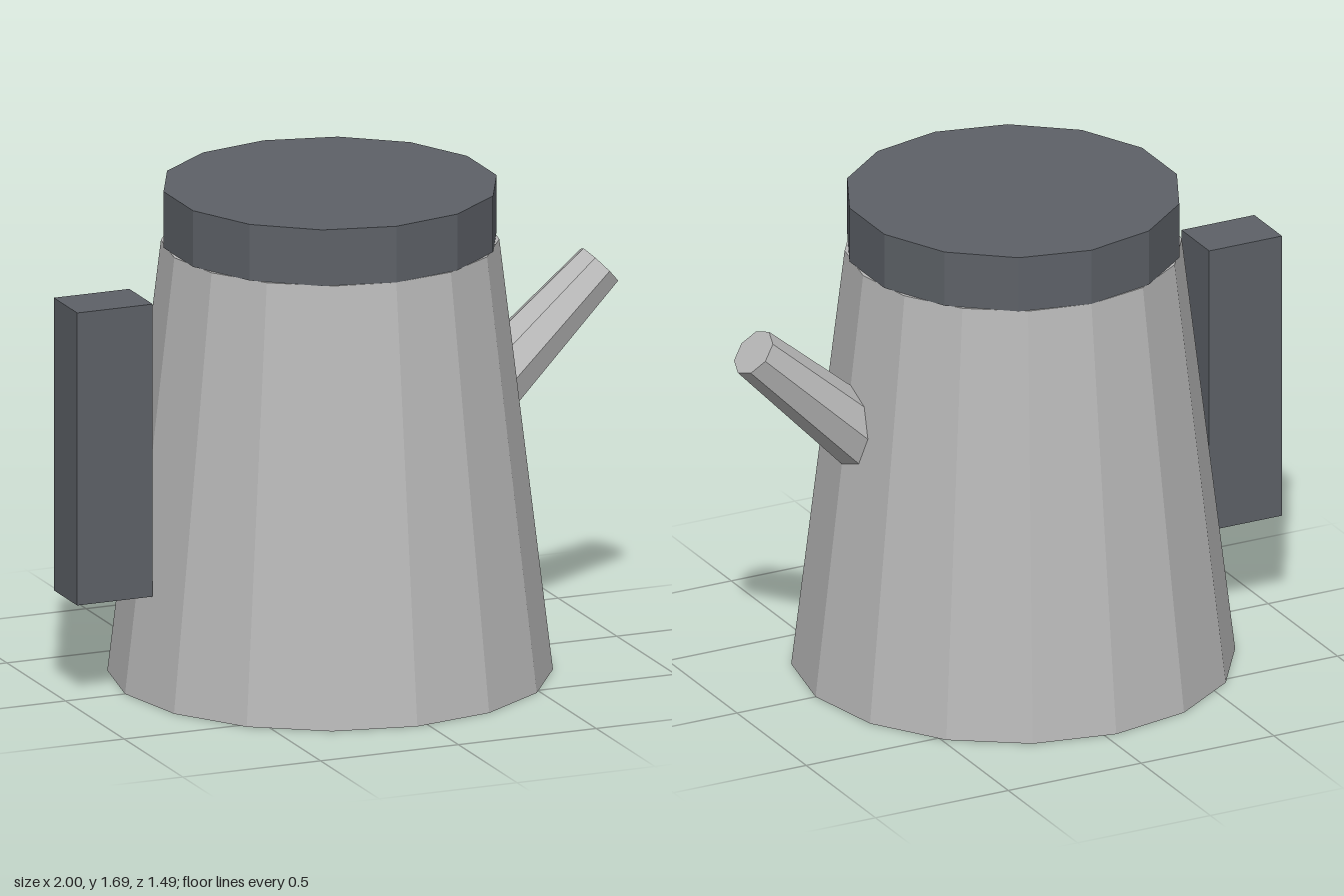
import * as THREE from 'three';

export function createModel() {
  const steel = new THREE.MeshStandardMaterial({ color: 0xb8b8b8, flatShading: true });
  steel.name = 'light grey metal';
  const dark = new THREE.MeshStandardMaterial({ color: 0x5d6167, flatShading: true });
  dark.name = 'dark slate grey';

  const model = new THREE.Group();
  model.name = 'pot';
  const add = (name, geometry, material, x, y, z = 0) => {
    const mesh = new THREE.Mesh(geometry, material);
    mesh.name = name;
    mesh.position.set(x, y, z);
    model.add(mesh);
    return mesh;
  };

  const axisX = -0.04;
  const bodyHeight = 1.495;
  const lidHeight = 0.195;

  // Tapered sixteen-sided body
  add('body', new THREE.CylinderGeometry(0.565, 0.744, bodyHeight, 16), steel, axisX, bodyHeight / 2);

  // Fourteen-sided lid
  add('lid', new THREE.CylinderGeometry(0.565, 0.565, lidHeight, 14), dark, axisX, bodyHeight + lidHeight / 2);

  // Block handle on the right side
  add('handle', new THREE.BoxGeometry(0.274, 1.016, 0.2), dark, -0.863, 0.866);

  // Tapered spout, its base sunk into the body
  const spoutLength = 0.68;
  const tilt = THREE.MathUtils.degToRad(43);
  const tip = new THREE.Vector2(0.938, 1.298);
  const spout = add(
    'spout',
    new THREE.CylinderGeometry(0.086, 0.125, spoutLength, 8),
    steel,
    tip.x - Math.cos(tilt) * spoutLength / 2,
    tip.y - Math.sin(tilt) * spoutLength / 2
  );
  spout.rotation.z = tilt - Math.PI / 2;

  return model;
}
